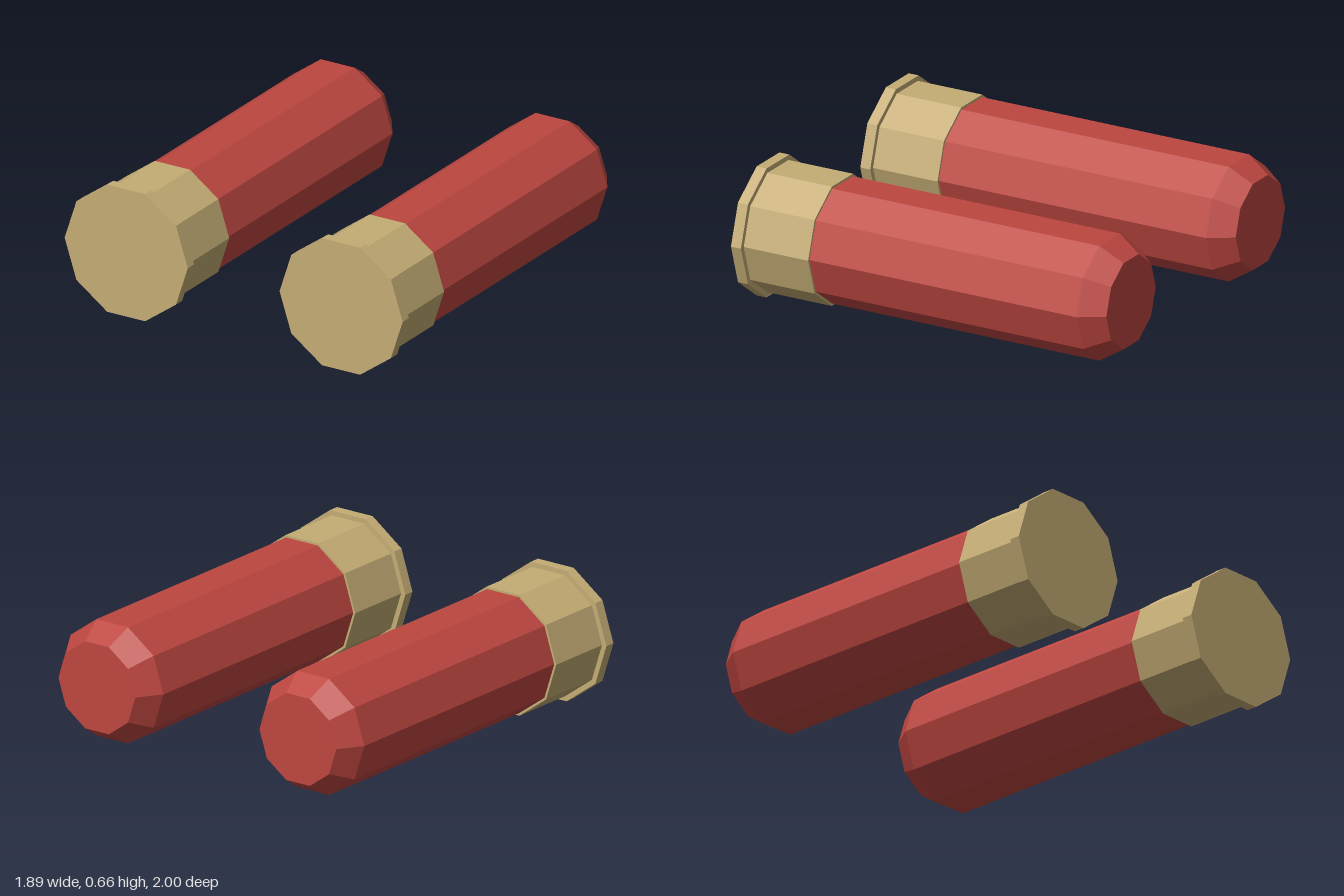
import * as THREE from 'three';

const SIDES = 10;
const brass = new THREE.MeshStandardMaterial({ color: 0xc4ac74, flatShading: true });
brass.name = 'brass';
const red = new THREE.MeshStandardMaterial({ color: 0xbd4640, flatShading: true });
red.name = 'red plastic';

// Ten-sided solid along z from [radius, z] pairs, running back to front
function turned(name, profile, material) {
  const points = profile.map(([r, z]) => new THREE.Vector2(r, z));
  const geometry = new THREE.LatheGeometry(points, SIDES, Math.PI / 2);
  geometry.rotateX(Math.PI / 2);
  const mesh = new THREE.Mesh(geometry, material);
  mesh.name = name;
  return mesh;
}

function createShell(name) {
  const shell = new THREE.Group();
  shell.name = name;
  shell.add(
    // Red tube with a tapered, closed tip
    turned('casing', [[0, -1], [0.23, -1], [0.307, -0.882], [0.307, 0.592]], red),
    // Metal cup around the end of the tube
    turned('metalBase', [[0, 0.59], [0.319, 0.59], [0.319, 0.945]], brass),
    // Wider flange closing the front
    turned('rim', [[0, 0.945], [0.345, 0.945], [0.345, 1], [0, 1]], brass)
  );
  return shell;
}

export function createModel() {
  const model = new THREE.Group();
  model.name = 'shotgunShells';
  for (const side of [-1, 1]) {
    const shell = createShell(side > 0 ? 'leftShell' : 'rightShell');
    shell.position.set(side * 0.602, 0.328, 0);
    model.add(shell);
  }
  return model;
}
